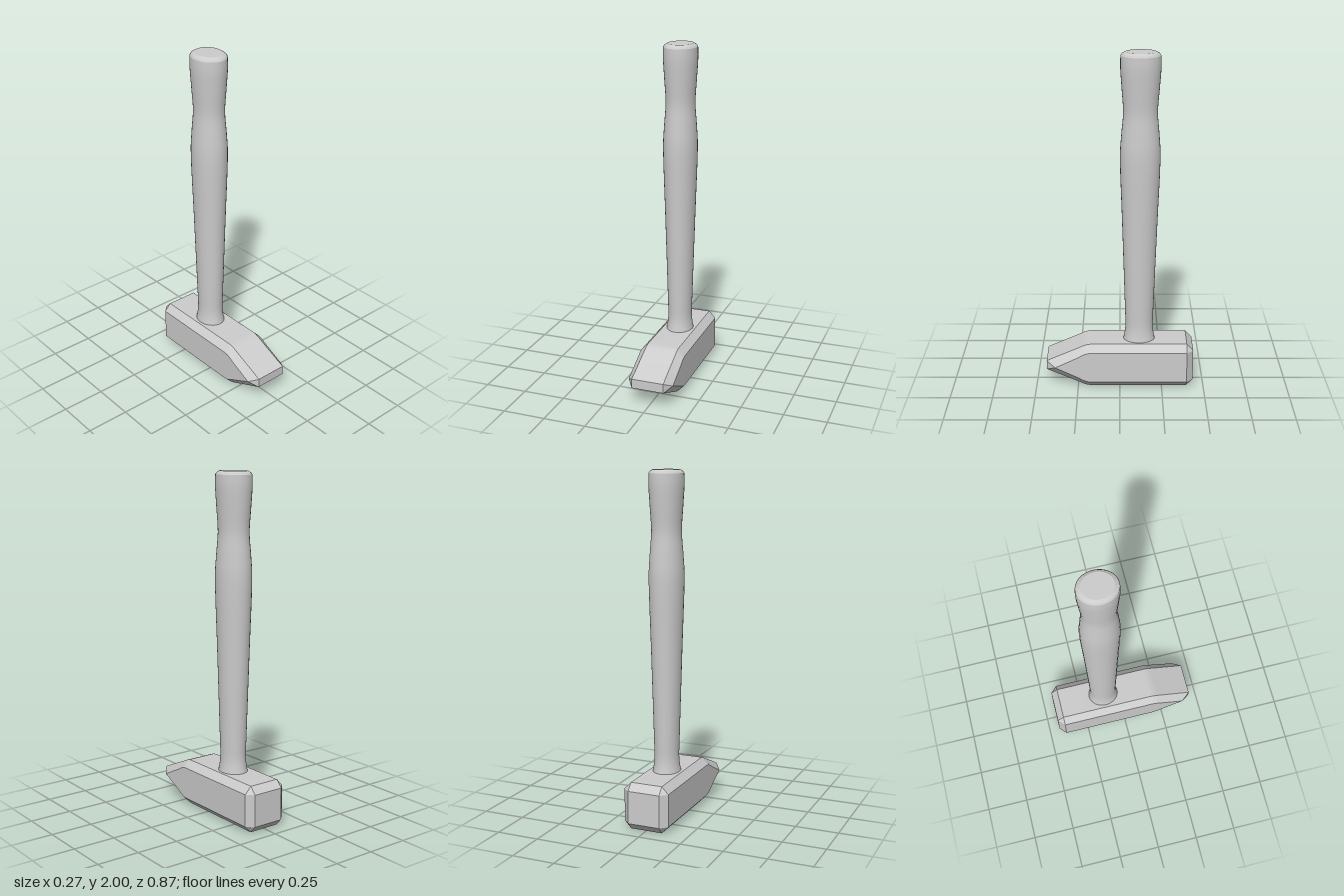
import * as THREE from 'three';
import { toCreasedNormals } from 'three/addons/utils/BufferGeometryUtils.js';

const material = new THREE.MeshStandardMaterial({ color: 0xcccccc });
const HEAD_Y = 0.1375; // height of the head's centre line

// Chamfered rectangle: outer half width o, inner half width i, side half height s, full half height t
function section([z, o, i, s, t]) {
  return [[o, -s], [o, s], [i, t], [-i, t], [-o, s], [-o, -s], [-i, -t], [i, -t]]
    .map(([x, y]) => new THREE.Vector3(x, HEAD_Y + y, z));
}

// Skin a list of sections, from back to front, and cap both ends
function loft(sections) {
  const positions = [];
  const tri = (a, b, c) => {
    const area = b.clone().sub(a).cross(c.clone().sub(a)).length();
    if (area > 1e-8) for (const v of [a, b, c]) positions.push(v.x, v.y, v.z);
  };
  for (let k = 0; k < sections.length - 1; k++) {
    const p = sections[k], q = sections[k + 1], n = p.length;
    for (let j = 0; j < n; j++) {
      const m = (j + 1) % n;
      tri(p[j], p[m], q[m]);
      tri(p[j], q[m], q[j]);
    }
  }
  const back = sections[0], front = sections[sections.length - 1];
  for (let j = 1; j < back.length - 1; j++) {
    tri(back[0], back[j + 1], back[j]);
    tri(front[0], front[j], front[j + 1]);
  }
  const geometry = new THREE.BufferGeometry();
  geometry.setAttribute('position', new THREE.Float32BufferAttribute(positions, 3));
  return toCreasedNormals(geometry, 0.4);
}

// Head: square striking face at the back, wedge at the front
function createHead() {
  const geometry = loft([
    [-0.437, 0.095, 0.095, 0.095, 0.095],
    [-0.398, 0.135, 0.095, 0.095, 0.1365],
    [0.175, 0.135, 0.095, 0.095, 0.1365],
    [0.195, 0.135, 0.095, 0.0925, 0.134],
    [0.22, 0.135, 0.095, 0.083, 0.125],
    [0.245, 0.135, 0.095, 0.068, 0.113],
    [0.385, 0.135, 0.095, 0, 0.051],
    [0.437, 0.096, 0.096, 0.028, 0.028],
  ].map(section));
  const head = new THREE.Mesh(geometry, material);
  head.name = 'head';
  return head;
}

// Handle: oval shaft with a waisted grip and a bevelled end
function createHandle() {
  const shaft = new THREE.SplineCurve([
    [0.081, 0.265], [0.07, 0.35], [0.073, 0.5], [0.087, 1.0], [0.098, 1.38],
    [0.092, 1.53], [0.083, 1.66], [0.09, 1.79], [0.097, 1.91], [0.096, 1.98],
  ].map(([r, y]) => new THREE.Vector2(r, y)));
  const profile = [
    new THREE.Vector2(0, 0.265),
    ...shaft.getPoints(36),
    new THREE.Vector2(0.09, 1.99),
    new THREE.Vector2(0.074, 2),
    new THREE.Vector2(0, 2),
  ];
  const geometry = new THREE.LatheGeometry(profile, 32);
  geometry.scale(1, 1, 1.17);
  const handle = new THREE.Mesh(toCreasedNormals(geometry, 0.4), material);
  handle.name = 'handle';
  handle.position.z = -0.115;
  return handle;
}

export function createModel() {
  const hammer = new THREE.Group();
  hammer.name = 'hammer';
  hammer.add(createHead(), createHandle());
  return hammer;
}
